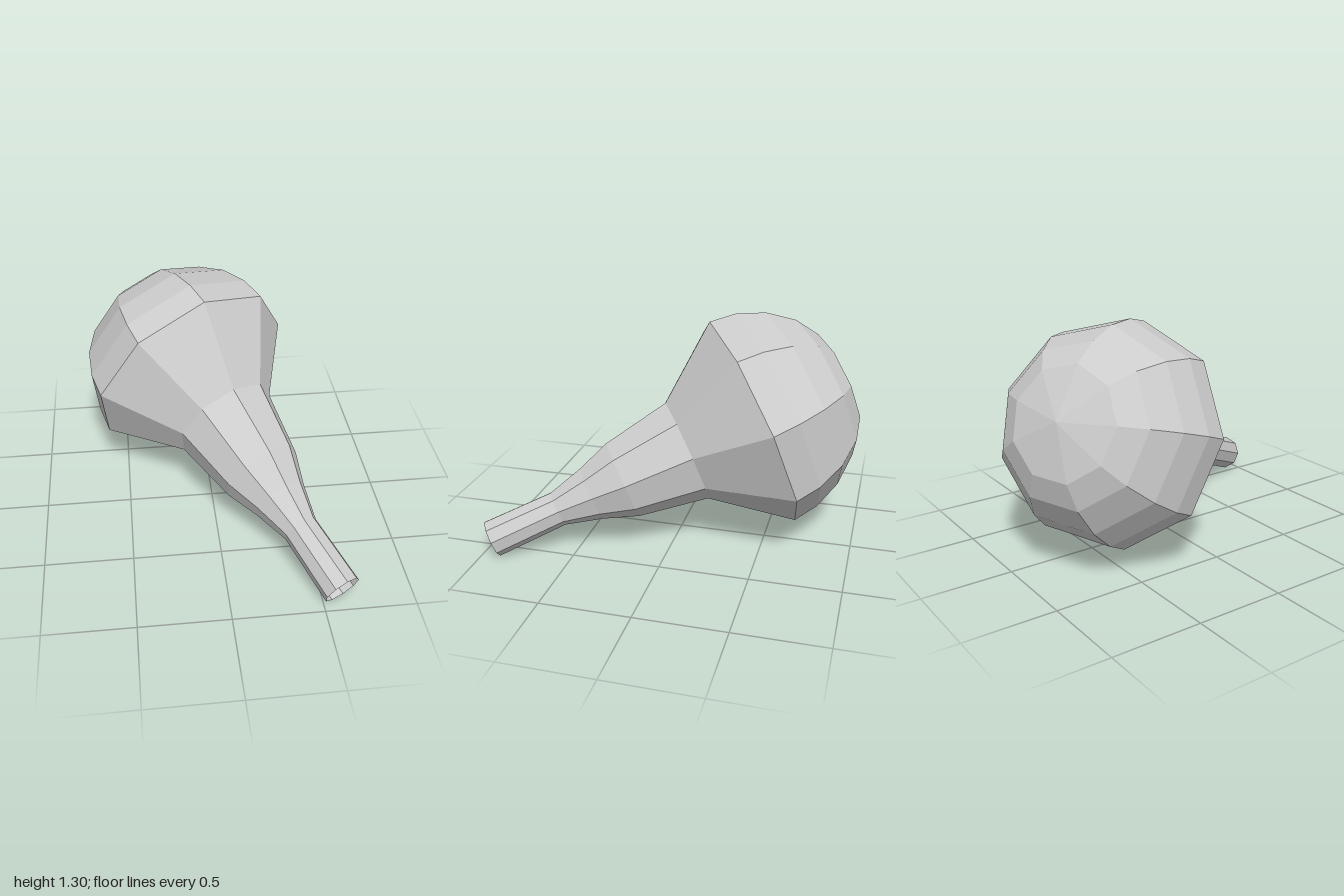
import * as THREE from 'three';

const SIDES = 9;

export function createModel() {
  const group = new THREE.Group();
  group.name = 'bulbHorn';
  const material = new THREE.MeshStandardMaterial({
    color: 0xcccccc, flatShading: true, side: THREE.DoubleSide,
  });

  // Profile [radius, distance along the axis], measured from the widest ring
  const dome = [[0, -0.61], [0.3, -0.545], [0.43, -0.455], [0.542, -0.31], [0.607, -0.15], [0.626, 0]];
  const flare = [[0.626, 0], [0.305, 0.4], [0.233, 0.795], [0.16, 0.99], [0.102, 1.195]];
  const tube = [[0.102, 1.195], [0.107, 1.598]];

  const addPart = (name, profile) => {
    const points = profile.map(([r, y]) => new THREE.Vector2(r, y));
    const mesh = new THREE.Mesh(new THREE.LatheGeometry(points, SIDES), material);
    mesh.name = name;
    group.add(mesh);
  };
  addPart('bulbDome', dome);
  addPart('taperedNeck', flare);
  addPart('openSpout', tube); // the end is open

  // Tilt: local y runs towards the spout, local z through a corner of the rings
  const axis = new THREE.Vector3(0.4255, -0.3667, 0.8273).normalize();
  const corner = new THREE.Vector3(-0.504, 0.662, 0.555);
  const side = new THREE.Vector3().crossVectors(axis, corner).normalize();
  corner.crossVectors(side, axis);
  group.quaternion.setFromRotationMatrix(new THREE.Matrix4().makeBasis(side, axis, corner));
  group.position.set(-0.085, 0.686, -0.377);

  const model = new THREE.Group();
  model.name = 'model';
  model.add(group);
  return model;
}
